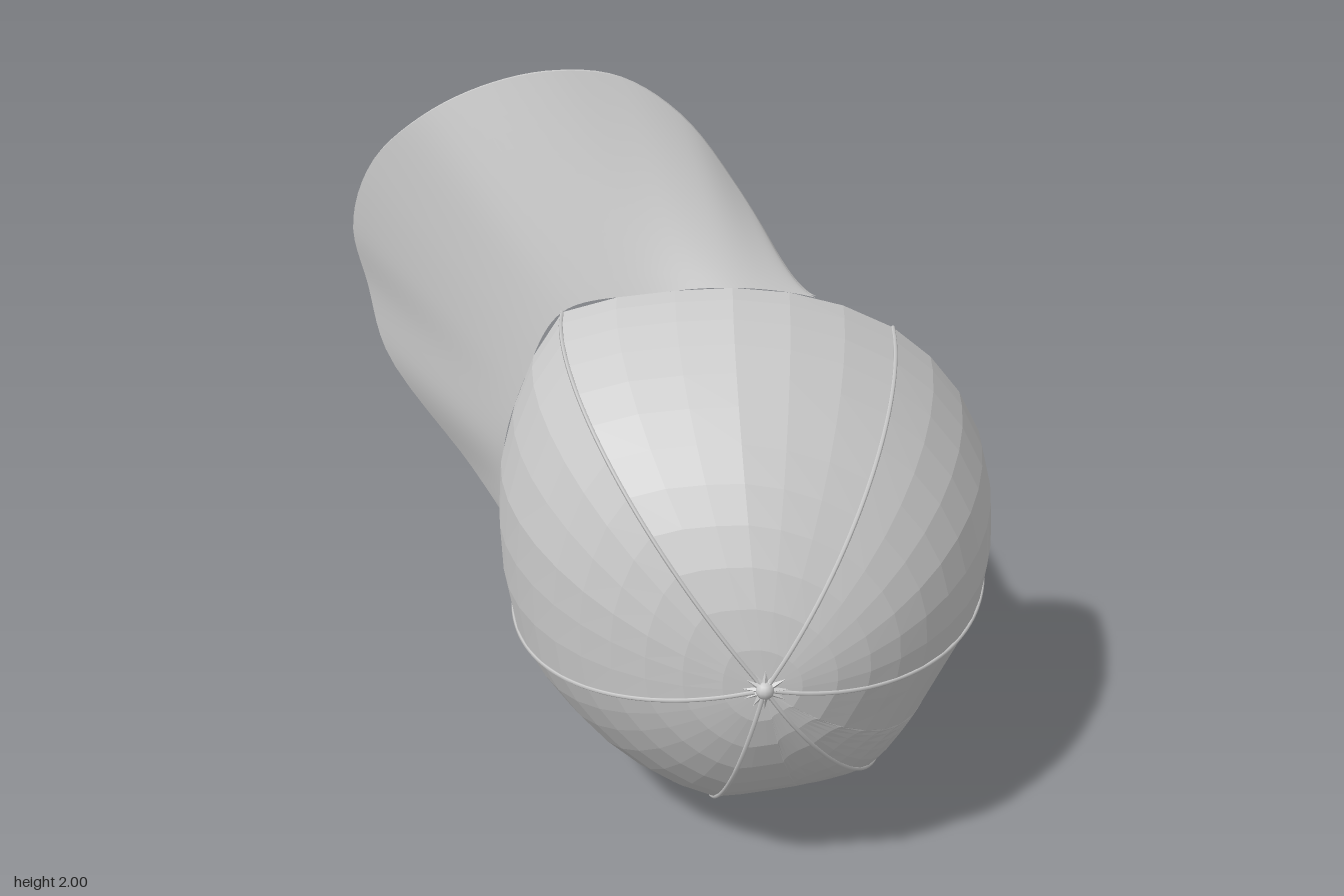
import * as THREE from 'three';

const V = (p) => new THREE.Vector3(...p);
const APEX = V([0.24, 0.69, 0.54]);

// Rim of the crown: four points per panel, clockwise from the front seam
const rimCurve = new THREE.CatmullRomCurve3([
  [-0.31, 1.4, -0.235], [-0.08, 1.45, -0.245], [0.15, 1.465, -0.26], [0.38, 1.41, -0.34],
  [0.6, 1.3, -0.41], [0.76, 1.15, -0.44], [0.865, 0.97, -0.45], [0.905, 0.78, -0.46],
  [0.89, 0.6, -0.465], [0.82, 0.46, -0.46], [0.755, 0.33, -0.45], [0.69, 0.22, -0.45],
  [0.61, 0.13, -0.44], [0.49, 0.085, -0.44], [0.35, 0.05, -0.44], [0.21, 0.025, -0.44],
  [0.08, 0.005, -0.44], [-0.1, 0.08, -0.44], [-0.26, 0.2, -0.43], [-0.39, 0.35, -0.42],
  [-0.48, 0.5, -0.41], [-0.505, 0.73, -0.36], [-0.49, 0.97, -0.28], [-0.42, 1.2, -0.24],
].map(V), true);

// Outer edge of the brim, from corner to corner
const brimCurve = new THREE.CatmullRomCurve3([
  [-0.505, 0.72, -0.37], [-0.61, 0.86, -0.43], [-0.84, 1.17, -0.505], [-0.885, 1.38, -0.51],
  [-0.91, 1.56, -0.485], [-0.84, 1.75, -0.44], [-0.69, 1.89, -0.4], [-0.52, 1.97, -0.42],
  [-0.34, 2, -0.465], [-0.16, 1.97, -0.525], [0.01, 1.855, -0.55], [0.165, 1.66, -0.52],
  [0.33, 1.425, -0.37],
].map(V));

// Rim point at u, measured in 24ths of a turn
const rim = (u) => rimCurve.getPoint((((u / 24) % 1) + 1) % 1);

// Domed crown, fuller towards the back: v = 0 at the apex, 1 at the rim
function crown(u, v, out = 1) {
  const e = rim(u), t = v * Math.PI / 2;
  const back = Math.exp(-(((u + 24) % 24 - 15) ** 2) / 30);
  const r = out * Math.pow(Math.sin(t), 0.97) * (1 + 0.05 * back * Math.sin(2 * t));
  return new THREE.Vector3(APEX.x + (e.x - APEX.x) * r, APEX.y + (e.y - APEX.y) * r,
    APEX.z + (e.z - APEX.z) * (1 - Math.cos(t)));
}

// Grid surface from a rule fn(a, b) with a and b in 0..1
function sheet(fn, na, nb) {
  const pos = [], index = [];
  for (let j = 0; j <= nb; j++)
    for (let i = 0; i <= na; i++) pos.push(...fn(i / na, j / nb).toArray());
  for (let j = 0; j < nb; j++)
    for (let i = 0; i < na; i++) {
      const p = j * (na + 1) + i, q = p + na + 1;
      index.push(p, p + 1, q, p + 1, q + 1, q);
    }
  const g = new THREE.BufferGeometry();
  g.setAttribute('position', new THREE.Float32BufferAttribute(pos, 3));
  g.setIndex(index);
  g.computeVertexNormals();
  return g;
}

export function createModel() {
  const model = new THREE.Group();
  const faceted = new THREE.MeshStandardMaterial({
    color: 0xcccccc, flatShading: true, side: THREE.DoubleSide });
  const smooth = new THREE.MeshStandardMaterial({ color: 0xcccccc, side: THREE.DoubleSide });
  const add = (name, geometry, material, parent = model) => {
    const m = new THREE.Mesh(geometry, material);
    m.name = name;
    parent.add(m);
    return m;
  };
  const cord = (name, points, radius) => add(name, new THREE.TubeGeometry(
    new THREE.CatmullRomCurve3(points), points.length * 3, radius, 5), smooth);
  const span = (n, fn) => Array.from({ length: n + 1 }, (_, i) => fn(i / n));

  // Crown panels and their lower band, leaving a gap around the back seam
  const HALF = 1.85, BAND = 0.935, ARCH = 0.76;
  const breaks = [12 + HALF, 16, 20, 24, 28, 32, 36 - HALF];
  for (let k = 0; k < breaks.length - 1; k++) {
    const u0 = breaks[k], du = breaks[k + 1] - u0, n = Math.round(du * 1.5);
    add('crownPanel', sheet((a, b) => crown(u0 + du * a, b * BAND), n, 11), faceted);
    add('crownBand', sheet((a, b) => crown(u0 + du * a, BAND + (1 - BAND) * b), n, 1), faceted);
  }

  // Back: cloth above the arched opening, strap below it
  const backU = (a) => 12 - HALF * Math.cos(a * Math.PI);
  const arch = (a) => BAND - (BAND - ARCH) * Math.sin(a * Math.PI);
  add('backPanel', sheet((a, b) => crown(backU(a), b * arch(a)), 12, 11), faceted);
  add('backStrap', sheet((a, b) => crown(backU(a), BAND + (1 - BAND) * b), 8, 2), faceted);
  cord('openingHem', span(16, (a) => crown(backU(a), arch(a))), 0.005);

  // Tabs that hold the strap at either end of the opening
  for (const u of [9.1, 13.9])
    add('strapTab', sheet((a, b) => crown(u + a, 0.93 + 0.06 * b, 1.012), 3, 2), faceted);

  // Seams between the panels
  for (let k = 0; k < 6; k++) {
    const end = k === 3 ? ARCH : 1;
    cord('seam', span(14, (a) => crown(k * 4, 0.02 + (end - 0.02) * a)), 0.006);
  }

  // Brim: arched plate with a top, an underside and an edge
  const THICK = new THREE.Vector3(0, 0, -0.014);
  const brim = new THREE.Group();
  brim.name = 'brim';
  model.add(brim);
  const brimAt = (a, b) => rim((a - 0.5) * 6).lerp(brimCurve.getPoint(a), b);
  add('brimTop', sheet(brimAt, 64, 14), smooth, brim);
  add('brimUnderside', sheet((a, b) => brimAt(1 - a, b).add(THICK), 64, 14), smooth, brim);
  add('brimEdge', sheet((a, b) => brimAt(a, 1).addScaledVector(THICK, b), 64, 1), smooth, brim);

  // Button on the apex with a ring of gathered cloth points
  const button = add('button', new THREE.SphereGeometry(0.024, 12, 8), smooth);
  button.position.copy(APEX);
  for (let i = 0; i < 12; i++) {
    const fold = new THREE.ConeGeometry(0.014, 0.045, 4).translate(0, 0.036, 0);
    const m = add('buttonFold', fold, faceted);
    m.position.set(APEX.x, APEX.y, 0.535);
    m.rotation.z = i * Math.PI / 6;
  }
  return model;
}
